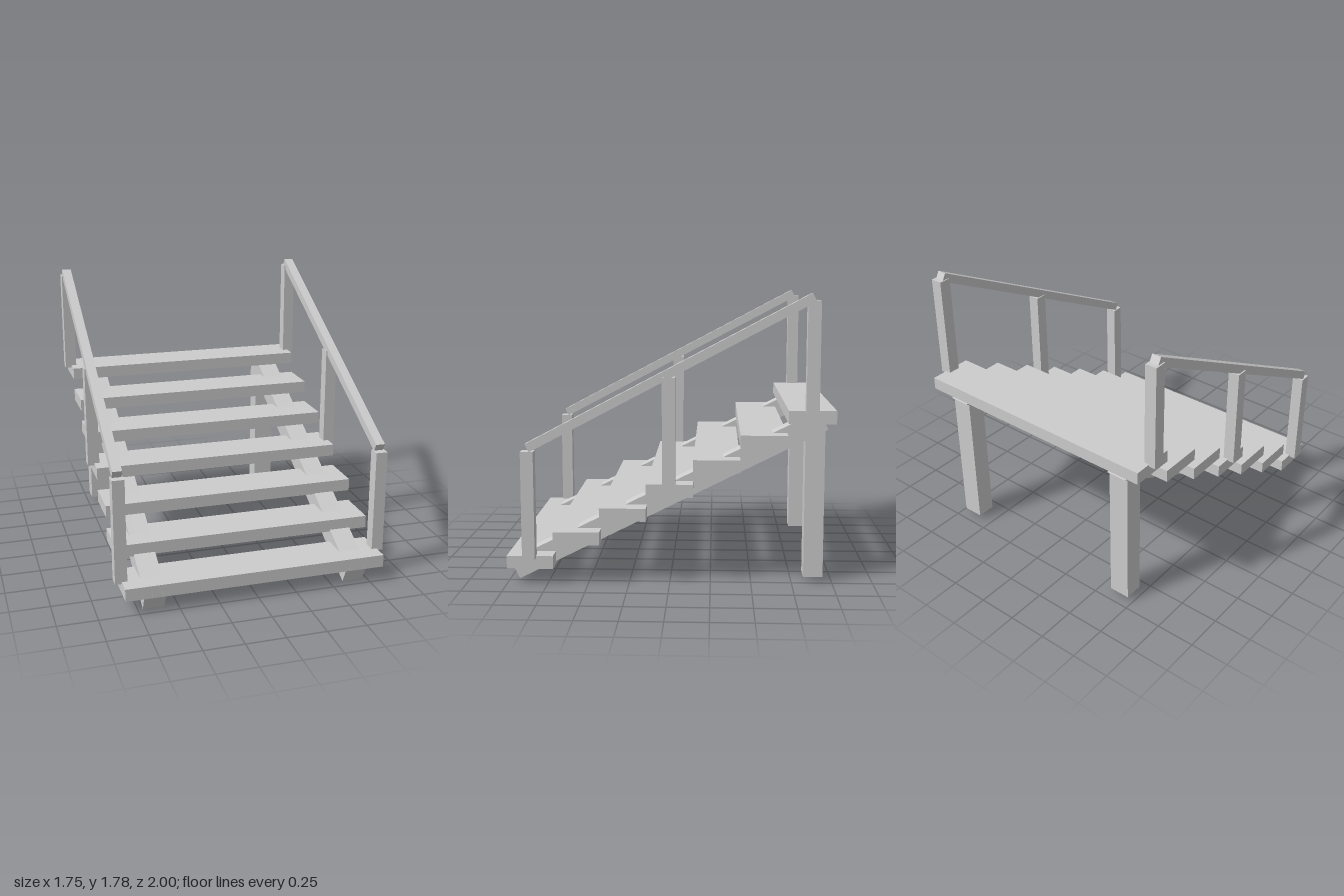
import * as THREE from 'three';

export function createModel() {
  const group = new THREE.Group();
  const grey = new THREE.MeshStandardMaterial({ color: 0xcccccc });
  grey.name = 'light grey';

  // Box given by its centre and size
  const box = (name, [x, y, z], [w, h, d]) => {
    const mesh = new THREE.Mesh(new THREE.BoxGeometry(w, h, d), grey);
    mesh.name = name;
    mesh.position.set(x, y, z);
    group.add(mesh);
    return mesh;
  };

  // Sloping beam between two [z, y] end points of its centre line
  const beam = (name, x, [z0, y0], [z1, y1], width, thickness) => {
    const length = Math.hypot(z1 - z0, y1 - y0);
    const mesh = box(name, [x, (y0 + y1) / 2, (z0 + z1) / 2], [width, thickness, length]);
    mesh.rotation.x = Math.atan2(y1 - y0, z0 - z1);
  };

  // Seven plank treads, rising towards the back
  const steps = 7, depth = 2 / steps;
  for (let i = 0; i < steps; i++) {
    box('tread' + (i + 1), [0, 0.136 + i * 0.151, 1 - depth * (i + 0.5)], [1.67, 0.08, depth]);
  }

  for (const [side, s] of [['left', 1], ['right', -1]]) {
    // Stringer under the treads and the leg holding up its back end
    beam(side + 'Stringer', s * 0.652, [0.971, 0.058], [-0.934, 1.012], 0.135, 0.13);
    box(side + 'BackLeg', [s * 0.652, 0.515, -0.885], [0.135, 0.97, 0.12]);

    // Handrail on three posts
    for (const [name, z, bottom, top] of [
      ['FrontPost', 0.858, 0.163, 0.83],
      ['MiddlePost', 0.003, 0.615, 1.28],
      ['BackPost', -0.853, 1.067, 1.735],
    ]) {
      box(side + name, [s * 0.838, (bottom + top) / 2, z], [0.076, top - bottom, 0.078]);
    }
    beam(side + 'Handrail', s * 0.837, [0.857, 0.851], [-0.853, 1.754], 0.06, 0.055);
  }
  return group;
}
